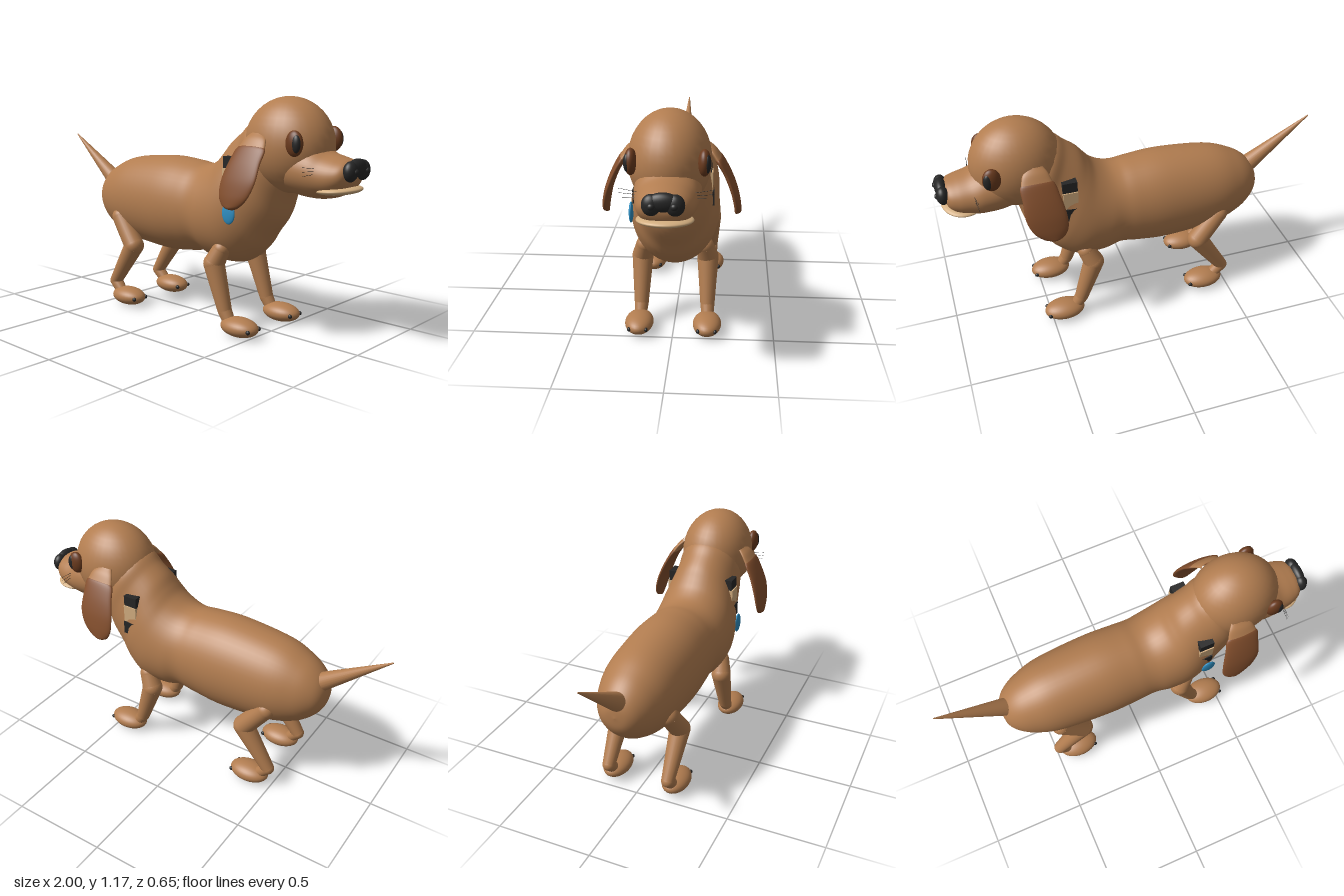
import * as THREE from 'three';

const mat = (name, color) => {
  const m = new THREE.MeshStandardMaterial({ color });
  m.name = name;
  return m;
};

// Smooth skin over elliptical rings, each given as [centre, half-axis a, half-axis b]
function loft(rings, steps = 60, sides = 48) {
  const curves = [0, 1, 2].map(k =>
    new THREE.CatmullRomCurve3(rings.map(r => new THREE.Vector3(...r[k])), false, 'catmullrom', 0.5));
  const pos = [], idx = [];
  for (let i = 0; i <= steps; i++) {
    const [c, a, b] = curves.map(cv => cv.getPoint(i / steps));
    for (let j = 0; j < sides; j++) {
      const t = (j / sides) * Math.PI * 2;
      const p = c.clone().addScaledVector(a, Math.cos(t)).addScaledVector(b, Math.sin(t));
      pos.push(p.x, p.y, p.z);
      if (i === steps) continue;
      const k = (j + 1) % sides, r = i * sides;
      idx.push(r + j, r + k, r + sides + j, r + k, r + sides + k, r + sides + j);
    }
  }
  const g = new THREE.BufferGeometry();
  g.setAttribute('position', new THREE.Float32BufferAttribute(pos, 3));
  g.setIndex(idx);
  g.computeVertexNormals();
  return g;
}

// Ring through a top and a bottom point of the side outline, with half width w
const ring = ([tx, ty, bx, by, w]) =>
  [[(tx + bx) / 2, (ty + by) / 2, 0], [(tx - bx) / 2, (ty - by) / 2, 0], [0, 0, w]];

export function createModel() {
  const coat = mat('coat', 0xb27d50);
  const earBrown = mat('earBrown', 0x844f2d);
  const eyeBrown = mat('eyeBrown', 0x6b3b1e);
  const black = mat('black', 0x262626);
  const cream = mat('cream', 0xd3ae80);
  const blue = mat('blue', 0x2f8fc2);

  const model = new THREE.Group();
  model.name = 'dog';
  const add = (name, geo, material, parent = model) => {
    const m = new THREE.Mesh(geo, material);
    m.name = name;
    parent.add(m);
    return m;
  };
  const ball = (name, c, r, material, parent) => {
    const m = add(name, new THREE.SphereGeometry(1, 32, 20), material, parent);
    m.position.set(...c);
    m.scale.set(...r);
    return m;
  };
  // Tapered limb between two points
  const limb = (name, p, q, r0, r1, material, parent) => {
    const a = new THREE.Vector3(...p), b = new THREE.Vector3(...q), d = b.clone().sub(a);
    const m = add(name, new THREE.CylinderGeometry(r1, r0, d.length(), 24), material, parent);
    m.position.copy(a).add(b).multiplyScalar(0.5);
    m.quaternion.setFromUnitVectors(new THREE.Vector3(0, 1, 0), d.normalize());
    return m;
  };

  // Torso, chest and neck in one skin
  add('bodyAndNeck', loft([
    [-0.70, 0.59, -0.70, 0.59, 0],
    [-0.69, 0.65, -0.69, 0.52, 0.065],
    [-0.65, 0.71, -0.65, 0.46, 0.115],
    [-0.57, 0.765, -0.57, 0.40, 0.16],
    [-0.43, 0.815, -0.43, 0.353, 0.197],
    [-0.17, 0.84, -0.17, 0.33, 0.213],
    [0.0, 0.83, 0.0, 0.345, 0.209],
    [0.08, 0.82, 0.10, 0.36, 0.206],
    [0.14, 0.83, 0.20, 0.335, 0.216],
    [0.20, 0.865, 0.34, 0.34, 0.22],
    [0.24, 0.91, 0.44, 0.41, 0.21],
    [0.28, 0.96, 0.50, 0.49, 0.192],
    [0.34, 1.01, 0.57, 0.585, 0.178],
    [0.40, 1.06, 0.605, 0.70, 0.168],
    [0.50, 1.08, 0.65, 0.80, 0.11],
  ].map(ring), 84), coat);

  limb('tail', [-0.6, 0.615, 0], [-1, 0.905, 0], 0.056, 0.003, coat);

  // Head and muzzle
  ball('head', [0.59, 0.95, 0], [0.23, 0.23, 0.19], coat);
  add('muzzle', loft([
    [0.58, 1.0, 0.58, 0.74, 0.13],
    [0.68, 0.98, 0.68, 0.72, 0.148],
    [0.77, 0.96, 0.77, 0.714, 0.145],
    [0.83, 0.932, 0.83, 0.72, 0.134],
    [0.89, 0.917, 0.89, 0.737, 0.122],
    [0.935, 0.903, 0.935, 0.77, 0.1],
    [0.955, 0.88, 0.955, 0.81, 0.06],
    [0.958, 0.85, 0.958, 0.85, 0],
  ].map(ring), 48), coat);
  ball('lip', [0.872, 0.765, 0], [0.104, 0.023, 0.125], cream).rotation.z = 0.07;

  // Nose with a notch below
  const nose = new THREE.Group();
  nose.name = 'nose';
  model.add(nose);
  ball('noseBridge', [0.963, 0.873, 0], [0.03, 0.042, 0.068], black, nose);

  for (const s of [1, -1]) {
    const side = s > 0 ? 'near' : 'far';
    ball('noseWing', [0.961, 0.86, s * 0.05], [0.032, 0.047, 0.041], black, nose);
    ball('nostril', [0.986, 0.86, s * 0.048], [0.014, 0.015, 0.016], black, nose);

    // Eye
    ball(side + 'Eye', [0.733, 0.977, s * 0.16], [0.045, 0.06, 0.029], eyeBrown);
    ball(side + 'Pupil', [0.751, 0.977, s * 0.172], [0.024, 0.042, 0.018], black);

    // Drooping ear: coat-coloured root, brown flap
    const earRing = ([x, y, z, w, t]) => [[x, y, s * z], [w, 0, 0], [0, s * t * 0.35, t]];
    add(side + 'EarRoot', loft([
      [0.53, 1.01, 0.165, 0.04, 0.012],
      [0.533, 0.985, 0.19, 0.062, 0.015],
      [0.533, 0.945, 0.218, 0.077, 0.016],
    ].map(earRing), 12, 32), coat);
    add(side + 'EarFlap', loft([
      [0.533, 0.95, 0.214, 0, 0],
      [0.533, 0.949, 0.216, 0.077, 0.0165],
      [0.522, 0.88, 0.255, 0.091, 0.0165],
      [0.512, 0.80, 0.287, 0.099, 0.0165],
      [0.498, 0.73, 0.304, 0.086, 0.0165],
      [0.487, 0.685, 0.31, 0.055, 0.016],
      [0.482, 0.667, 0.311, 0.022, 0.014],
      [0.482, 0.664, 0.311, 0, 0],
    ].map(earRing), 42, 32), earBrown);

    // Whiskers
    for (const k of [-1, 0, 1])
      limb('whisker', [0.82, 0.855 + k * 0.012, s * 0.115], [0.81, 0.86 + k * 0.02, s * 0.205],
        0.0012, 0.0006, black);

    // Collar patches on the neck
    for (const [y, h, z, m] of [[0.862, 0.056, 0.184, black], [0.787, 0.094, 0.19, cream], [0.705, 0.07, 0.197, black]])
      add('collarPatch', new THREE.BoxGeometry(0.075, h, 0.04), m).position.set(0.368, y, s * (z - 0.02));

    // Legs: joints as balls, bones as tapered limbs
    const leg = (name, joints, footX) => {
      const g = new THREE.Group();
      g.name = side + name;
      model.add(g);
      const at = j => [j[0], j[1], s * j[2]];
      joints.forEach((j, i) => {
        ball('joint', at(j), [j[3], j[3], j[3]], coat, g);
        if (i) limb('bone', at(joints[i - 1]), at(j), joints[i - 1][3], j[3], coat, g);
      });
      ball('foot', [footX, 0.053, s * 0.17], [0.108, 0.048, 0.071], coat, g);
      for (const k of [-1, 1])
        ball('claw', [footX + 0.087, 0.053, s * 0.17 + k * 0.042], [0.012, 0.011, 0.009], black, g);
    };
    leg('FrontLeg', [[0.295, 0.42, 0.15, 0.045], [0.26, 0.345, 0.166, 0.054],
      [0.335, 0.115, 0.168, 0.036], [0.37, 0.06, 0.17, 0.03]], 0.432);
    leg('HindLeg', [[-0.44, 0.49, 0.155, 0.05], [-0.325, 0.345, 0.168, 0.054],
      [-0.478, 0.12, 0.168, 0.034], [-0.42, 0.06, 0.17, 0.03]], -0.37);
  }

  // Round tag hanging from one side of the collar
  ball('tag', [0.387, 0.62, 0.207], [0.039, 0.053, 0.011], blue);

  return model;
}
